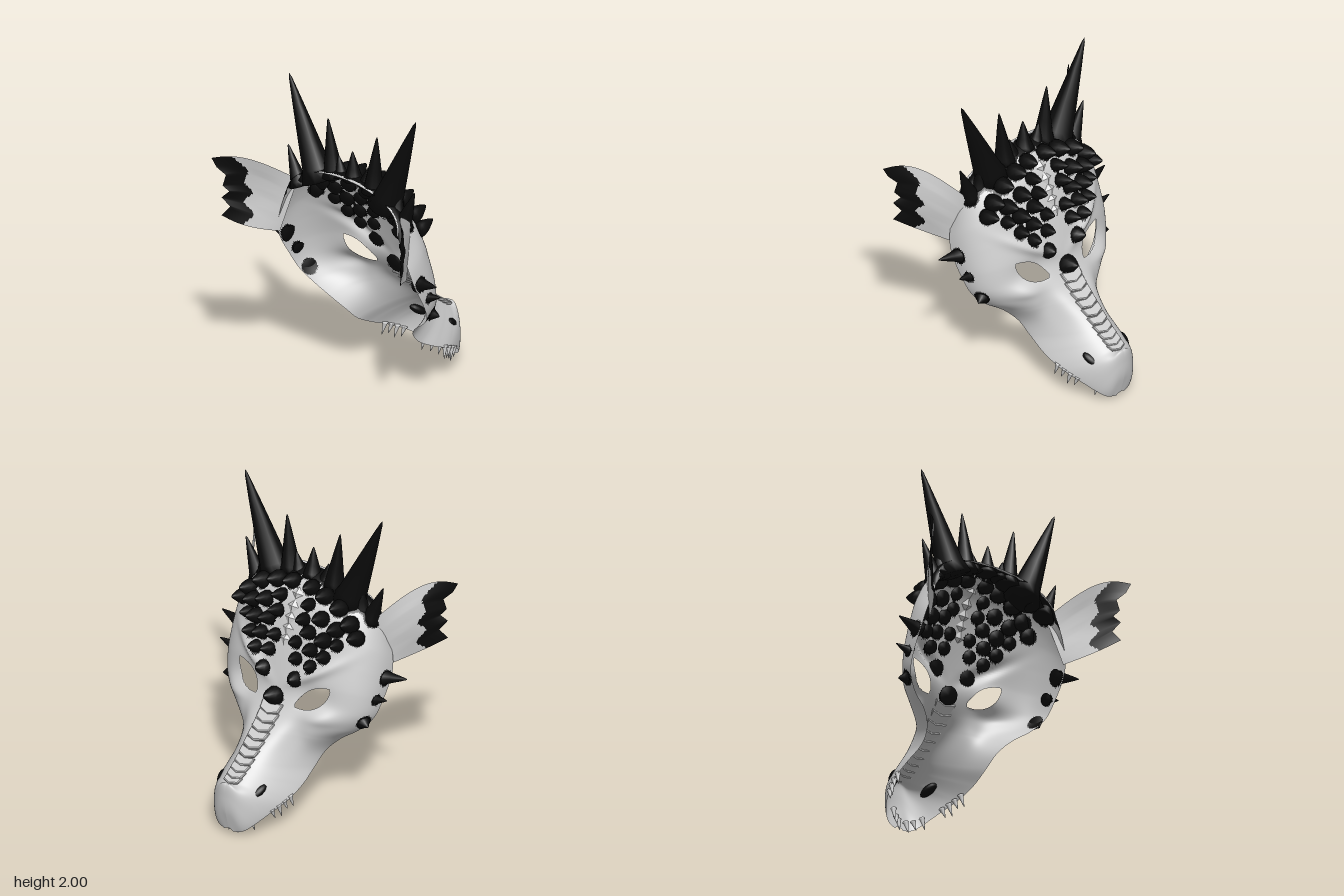
import * as THREE from 'three';

const V = (x, y, z) => new THREE.Vector3(x, y, z);
const grey = new THREE.MeshStandardMaterial({ color: 0xcccccc, side: THREE.DoubleSide });
const black = new THREE.MeshStandardMaterial({ color: 0x0a0a0a, side: THREE.DoubleSide });

// Mask sections from crown to lip: ridge y, ridge z, rim x, rim y, rim z, fullness
const rows = [
  [1.475, 0.31, 0.46, 1.25, 0.335, 0.8], [1.475, 0.21, 0.49, 1.2, 0.335, 0.8],
  [1.38, 0.08, 0.525, 1.1, 0.33, 0.75], [1.25, 0.01, 0.555, 1.0, 0.315, 0.7],
  [1.08, -0.05, 0.565, 0.9, 0.28, 0.7], [0.92, -0.1, 0.56, 0.78, 0.21, 0.75],
  [0.78, -0.14, 0.535, 0.67, 0.15, 0.85], [0.68, -0.2, 0.46, 0.58, 0.1, 1],
  [0.6, -0.28, 0.35, 0.5, 0.06, 1.1], [0.53, -0.36, 0.28, 0.42, 0, 1.3],
  [0.46, -0.44, 0.26, 0.34, -0.08, 1.5], [0.405, -0.515, 0.265, 0.27, -0.21, 1.8],
  [0.365, -0.575, 0.25, 0.21, -0.35, 1.9], [0.34, -0.63, 0.2, 0.15, -0.47, 1.7],
  [0.25, -0.64, 0.145, 0.09, -0.55, 1.4], [0.15, -0.635, 0.095, 0.05, -0.585, 1.1],
  [0.045, -0.605, 0.03, 0.03, -0.6, 1]];
const LAST = rows.length - 1;
const ridge = new THREE.CatmullRomCurve3(rows.map(r => V(0, r[0], r[1])), false, 'catmullrom');
const rim = new THREE.CatmullRomCurve3(rows.map(r => V(r[2], r[3], r[4])), false, 'catmullrom');
const bump = (x, y, cx, cy, sx, sy) => Math.exp(-(((x - cx) / sx) ** 2) - ((y - cy) / sy) ** 2);

function surface(u, v) {
  const c = ridge.getPoint(v), r = rim.getPoint(v), a = u * Math.PI / 2;
  const f = v * LAST, i = Math.min(Math.floor(f), LAST - 1);
  const full = THREE.MathUtils.lerp(rows[i][5], rows[i + 1][5], f - i);
  const d = 1 - Math.pow(Math.max(Math.cos(a), 0), full);
  const p = V(r.x * Math.sin(a), c.y + (r.y - c.y) * d, c.z + (r.z - c.z) * d);
  // brow, eye socket, cheek bone and nose relief
  const x = Math.abs(p.x), browY = 0.84 + 0.55 * (x - 0.12);
  p.z += -0.035 * bump(x, p.y, 0.24, browY + 0.06, 0.14, 0.04)
    + 0.025 * bump(x, p.y, 0.25, 0.81, 0.12, 0.08)
    - 0.03 * bump(x, p.y, 0.33, 0.7, 0.1, 0.05)
    + 0.03 * bump(x, p.y, 0.2, 0.56, 0.06, 0.1);
  p.y += 0.03 * bump(x, p.z, 0.03, -0.635, 0.06, 0.025);
  return p;
}

// Eye outline: a tilted lens. Returns local coordinates and the allowed range
const eye = { x: 0.245, y: 0.815, a: 0.13, cos: Math.cos(0.6), sin: Math.sin(0.6) };
function eyeLocal(p) {
  const dx = Math.abs(p.x) - eye.x, dy = p.y - eye.y;
  const e = dx * eye.cos + dy * eye.sin, n = dy * eye.cos - dx * eye.sin;
  const k = Math.max(0, 1 - (e / eye.a) ** 2), up = 0.045 * k, low = -0.068 * k;
  return { e, n, up, low, inside: k > 0 && n < up && n > low };
}

// Round pointed spikes and blunter scales, set along an axis
const spikeProfile = [[0, 0], [1.25, 0], [0.95, 0.12], [0.68, 0.4], [0.36, 0.72], [0.1, 0.96], [0, 1]];
const scaleProfile = [[0, 0], [1, 0], [0.98, 0.22], [0.78, 0.5], [0.4, 0.8], [0.14, 0.96], [0, 1]];
function spike(name, base, tip, r, mat = black, profile = spikeProfile) {
  const h = base.distanceTo(tip);
  const g = new THREE.LatheGeometry(profile.map(([a, b]) => new THREE.Vector2(a * r, b * h)), 12);
  const m = new THREE.Mesh(g, mat);
  m.name = name;
  m.position.copy(base);
  m.quaternion.setFromUnitVectors(V(0, 1, 0), tip.clone().sub(base).normalize());
  return m;
}

function gridIndex(nu, nv, keep) {
  const out = [];
  for (let j = 0; j < nv; j++) for (let i = 0; i < nu; i++) {
    const a = j * (nu + 1) + i, b = a + 1, c = a + nu + 1, d = c + 1;
    if (keep(a, b, c, d)) out.push(a, b, c, b, d, c);
  }
  return out;
}
function gridMesh(name, pts, index, mat, normals) {
  const g = new THREE.BufferGeometry().setFromPoints(pts);
  g.setIndex(index);
  if (normals) g.setAttribute('normal', normals); else g.computeVertexNormals();
  const m = new THREE.Mesh(g, mat);
  m.name = name;
  return m;
}

export function createModel() {
  const model = new THREE.Group();
  model.name = 'dragonMask';
  const NU = 160, NV = 170, pts = [];
  for (let j = 0; j <= NV; j++) for (let i = 0; i <= NU; i++) pts.push(surface(1 - 2 * i / NU, j / NV));
  const near = (x, y) => pts.reduce((b, p) =>
    (p.x - x) ** 2 + (p.y - y) ** 2 < (b.x - x) ** 2 + (b.y - y) ** 2 ? p : b).clone();
  const dark = [];
  const sides = (x, fn) => (x === 0 ? [1] : [1, -1]).forEach(fn);

  // Forehead scales: x, y, radius, length
  const scales = [[0.07, 1.42, 0.05, 0.12], [0.18, 1.4, 0.055, 0.13], [0.29, 1.36, 0.055, 0.13],
    [0.38, 1.28, 0.055, 0.13], [0.43, 1.2, 0.05, 0.13], [0.1, 1.34, 0.04, 0.12], [0.21, 1.29, 0.05, 0.13],
    [0.31, 1.24, 0.05, 0.13], [0.1, 1.26, 0.042, 0.12], [0.15, 1.19, 0.045, 0.13], [0.25, 1.17, 0.05, 0.13],
    [0.34, 1.15, 0.04, 0.1], [0.08, 1.12, 0.04, 0.11], [0.18, 1.09, 0.045, 0.12], [0.28, 1.07, 0.042, 0.11],
    [0.1, 1.02, 0.042, 0.11], [0.21, 1.0, 0.042, 0.1], [0.12, 0.91, 0.05, 0.08], [0, 0.77, 0.06, 0.12]];
  for (const [x, y, r, len] of scales) sides(x, s => {
    const p = near(s * x, y);
    dark.push([p, r * 1.05]);
    const base = p.clone().add(V(0, 0, 0.02));
    model.add(spike('foreheadScale', base, base.clone().add(V(s * 0.01, len * 0.35, -len)), r, black, scaleProfile));
  });
  // Small pale scales down the middle of the forehead
  for (let i = 0; i < 5; i++) {
    const m = new THREE.Mesh(new THREE.OctahedronGeometry(0.045), grey);
    m.name = 'middleScale';
    m.position.copy(near(0, 1.12 + i * 0.065));
    m.scale.set(0.9, 1, 0.5);
    m.rotation.x = 0.5;
    model.add(m);
  }

  // Crown horns and cheek spikes: base, tip, radius
  const horns = [['crownHorn', [0, 1.45, 0.23], [0, 1.64, 0.24], 0.055],
    ['crownHorn', [0.1, 1.44, 0.23], [0.125, 1.57, 0.23], 0.045],
    ['crownHorn', [0.165, 1.42, 0.23], [0.205, 1.8, 0.24], 0.062],
    ['mainHorn', [0.275, 1.36, 0.235], [0.53, 2.0, 0.24], 0.095],
    ['crownHorn', [0.37, 1.33, 0.24], [0.375, 1.53, 0.22], 0.05],
    ['crownHorn', [0.43, 1.28, 0.25], [0.53, 1.53, 0.25], 0.055],
    ['cheekSpike', [0.54, 0.92, 0.23], [0.715, 0.955, 0.25], 0.045],
    ['cheekSpike', [0.535, 0.8, 0.15], [0.645, 0.83, 0.14], 0.033],
    ['cheekSpike', [0.51, 0.66, 0.08], [0.56, 0.65, 0.06], 0.04]];
  for (const [name, b, t, r] of horns) sides(b[0], s => {
    const base = V(s * b[0], b[1], b[2]);
    dark.push([base, r * 1.3]);
    model.add(spike(name, base, V(s * t[0], t[1], t[2]), r));
  });

  // Face shell, with the eye openings cut out and dark skin round the spikes
  const inside = pts.map(p => eyeLocal(p).inside);
  const open = gridIndex(NU, NV, (...q) => !q.every(k => inside[k]));
  pts.forEach((p, k) => {
    if (!inside[k]) return;
    const { e, n, up, low } = eyeLocal(p), m = n > (up + low) / 2 ? up : low;
    p.x = Math.sign(p.x) * (eye.x + e * eye.cos - m * eye.sin);
    p.y = eye.y + e * eye.sin + m * eye.cos;
  });
  const darkPoint = pts.map((p, k) => {
    const row = k / (NU + 1) / NV * LAST;
    return (row > 0.25 && row < 1.3) || dark.some(([c, r]) => p.distanceTo(c) < r);
  });
  const pale = [], shade = [];
  for (let i = 0; i < open.length; i += 3) {
    const tri = open.slice(i, i + 3);
    (tri.filter(k => darkPoint[k]).length > 1 ? shade : pale).push(...tri);
  }
  const normals = gridMesh('', pts, open, grey).geometry.attributes.normal;
  model.add(gridMesh('face', pts, pale, grey, normals), gridMesh('darkSkin', pts, shade, black, normals));

  // Chevron plates along the snout
  const chevron = new THREE.Shape([[-0.07, -0.03], [0, -0.012], [0.07, -0.03], [0.062, 0.022], [0, 0.045], [-0.062, 0.022]]
    .map(q => new THREE.Vector2(...q)));
  for (let i = 0; i < 10; i++) {
    const v = (6.7 + i * 0.57) / LAST, t = ridge.getTangent(v), X = V(1, 0, 0);
    const m = new THREE.Mesh(new THREE.ExtrudeGeometry(chevron,
      { depth: 0.012, bevelEnabled: true, bevelSize: 0.006, bevelThickness: 0.006, bevelSegments: 1 }), grey);
    m.name = 'snoutPlate';
    m.quaternion.setFromRotationMatrix(new THREE.Matrix4().makeBasis(X, t, X.clone().cross(t)));
    m.rotateX(0.2);
    m.position.copy(ridge.getPoint(v));
    m.scale.setScalar(1 - i * 0.025);
    model.add(m);
  }

  for (const s of [1, -1]) {
    // Nostril, sunk into the side of the nose
    const nostril = new THREE.Mesh(new THREE.SphereGeometry(1, 16, 10), black);
    nostril.name = 'nostril';
    nostril.position.copy(near(s * 0.15, 0.31)).add(V(-s * 0.012, -0.008, 0.012));
    nostril.scale.set(0.032, 0.026, 0.062);
    nostril.rotation.set(-0.6, s * 0.35, 0);
    model.add(nostril);

    // Side teeth along the lip, front teeth behind the beak
    const sideTeeth = [11.75, 12.1, 12.4, 12.75].map(row => rim.getPoint(row / LAST));
    const frontTeeth = [V(0.03, 0.07, -0.575), V(0.07, 0.075, -0.55), V(0.115, 0.1, -0.52)];
    [...sideTeeth, ...frontTeeth].forEach((b, i) => {
      const base = V(s * b.x * 0.97, b.y + 0.015, b.z);
      const tip = V(s * (b.x + 0.005), Math.max(b.y - (i % 2 ? 0.05 : 0.07), 0.005), b.z + 0.02);
      model.add(spike('tooth', base, tip, 0.016, grey));
    });

    // Ear fin: sheet from the root out to a scalloped edge
    const edge = [[0.8, 1.48], [0.775, 1.42], [0.73, 1.37], [0.745, 1.3], [0.715, 1.26], [0.75, 1.22], [0.71, 1.16], [0.75, 1.1]];
    const N = 42, T = 30, ear = [];
    for (let j = 0; j <= T; j++) for (let i = 0; i <= N; i++) {
      const q = i / N, t = j / T, f = q * 7, k = Math.min(Math.floor(f), 6);
      const ex = THREE.MathUtils.lerp(edge[k][0], edge[k + 1][0], f - k);
      const ey = THREE.MathUtils.lerp(edge[k][1], edge[k + 1][1], f - k);
      const x = THREE.MathUtils.lerp(0.475 + 0.055 * q, ex, t);
      const arch = Math.sin(Math.PI * t);
      const y = THREE.MathUtils.lerp(1.3 - 0.33 * q, ey, t) + arch * (0.085 * (1 - q) - 0.01 * q);
      const cup = 0.02 * Math.sin(Math.PI * q) * arch;
      const bow = 0.06 * Math.sin(Math.PI * (x - 0.475) / 0.325);
      ear.push(V(s * (x + cup), y, 0.22 + (x - 0.475) * 1.3 + bow - cup));
    }
    const earDark = a => {
      const q = (a % (N + 1)) / N;
      return Math.floor(a / (N + 1)) / T > 0.62 - 0.12 * q + 0.05 * Math.cos(q * 6 * Math.PI);
    };
    model.add(gridMesh('ear', ear, gridIndex(N, T, a => !earDark(a)), grey),
      gridMesh('earEdge', ear, gridIndex(N, T, earDark), black));
  }
  return model;
}
